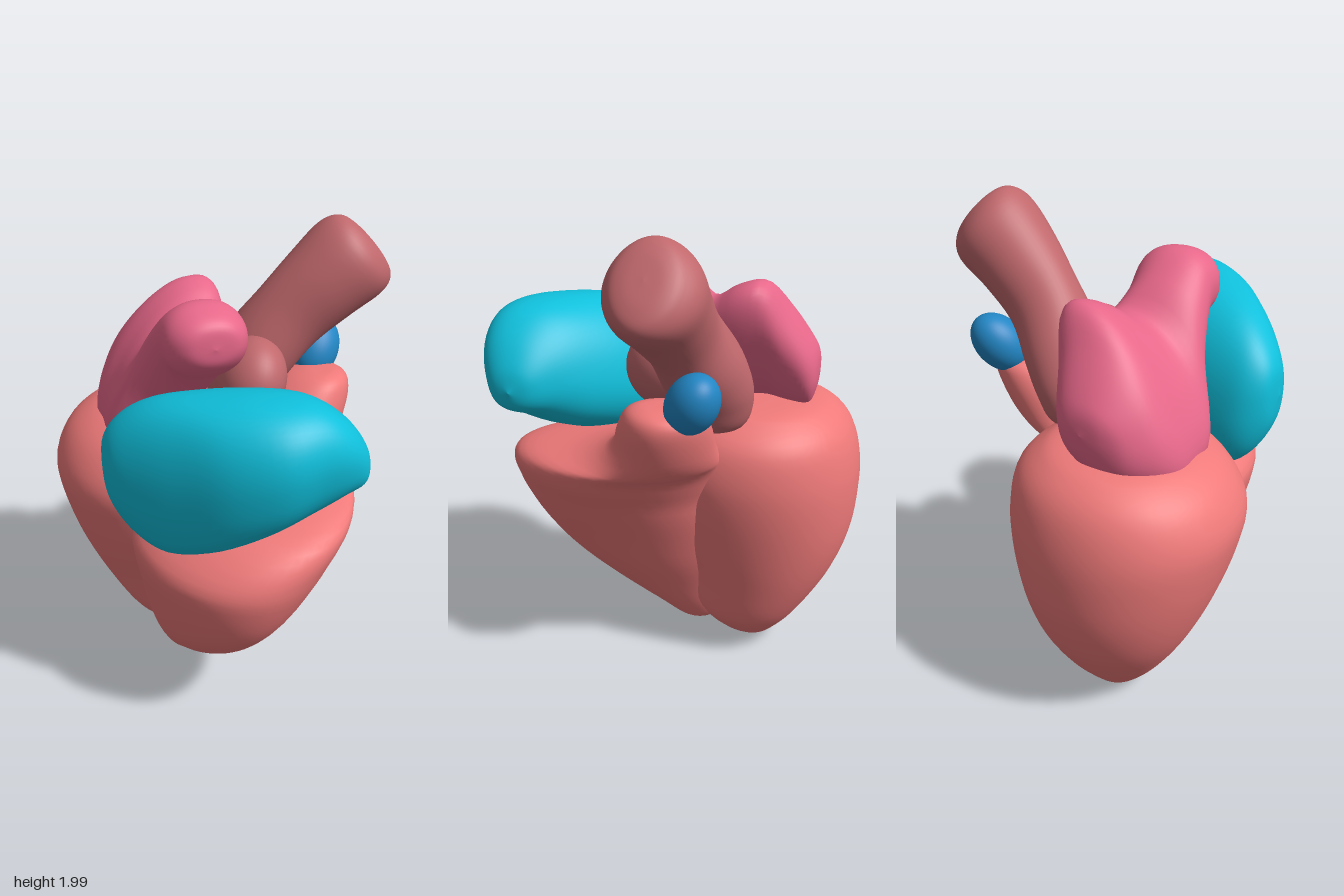
import * as THREE from 'three';

const V = (x, y, z) => new THREE.Vector3(x, y, z);

// Smooth closed skin through cross-sections { c: centre, u, v: half axes }, u x v along the travel
function loft(name, color, sections, n = 2, rings = 64, sides = 56) {
  const curve = k => new THREE.CatmullRomCurve3(sections.map(s => s[k]), false, 'catmullrom', 0.5);
  const C = curve('c'), U = curve('u'), W = curve('v');
  const pos = [], idx = [];
  const pw = a => Math.sign(a) * Math.pow(Math.abs(a), 2 / n);
  for (let i = 0; i <= rings; i++) {
    // ease the parameter so rings crowd towards both ends
    const t = 0.5 - 0.5 * Math.cos(Math.PI * i / rings);
    const c = C.getPoint(t), u = U.getPoint(t), v = W.getPoint(t);
    for (let j = 0; j < sides; j++) {
      const a = 2 * Math.PI * j / sides;
      const p = c.clone().addScaledVector(u, pw(Math.cos(a))).addScaledVector(v, pw(Math.sin(a)));
      pos.push(p.x, p.y, p.z);
      if (i < rings) {
        const k = (j + 1) % sides, o = i * sides;
        idx.push(o + j, o + k, o + sides + j, o + k, o + sides + k, o + sides + j);
      }
    }
  }
  const g = new THREE.BufferGeometry();
  g.setAttribute('position', new THREE.Float32BufferAttribute(pos, 3));
  g.setIndex(idx);
  g.computeVertexNormals();
  return mesh(name, g, color);
}

function mesh(name, geometry, color) {
  const m = new THREE.Mesh(geometry, new THREE.MeshStandardMaterial({ color }));
  m.name = name;
  return m;
}

// Sections from bounds, stacked along one axis in the positive direction
const alongY = ([y, x0, x1, z0, z1]) => ({
  c: V((x0 + x1) / 2, y, (z0 + z1) / 2), u: V(0, 0, (z1 - z0) / 2), v: V((x1 - x0) / 2, 0, 0) });
const alongX = ([x, z0, z1, y0, y1, lean = 0]) => ({
  c: V(x, (y0 + y1) / 2, (z0 + z1) / 2), u: V(0, (y1 - y0) / 2, lean), v: V(0, 0, (z1 - z0) / 2) });
const alongZ = ([z, x0, x1, y0, y1, lean = 0]) => ({
  c: V((x0 + x1) / 2, (y0 + y1) / 2, z), u: V((x1 - x0) / 2, 0, 0), v: V(lean, (y1 - y0) / 2, 0) });

function ellipsoid(name, color, centre, radii, rot = [0, 0, 0]) {
  const m = mesh(name, new THREE.SphereGeometry(1, 40, 28), color);
  m.position.set(...centre);
  m.scale.set(...radii);
  m.rotation.set(...rot);
  return m;
}

export function createModel() {
  const model = new THREE.Group();
  model.name = 'heart';
  const muscle = 0xf07a7a, teal = 0x10c0dc, pink = 0xe8688a, vessel = 0xc0686c, blue = 0x2286c4;

  // rear chamber: egg tapering to the apex
  model.add(loft('rearVentricle', muscle, [
    [0, -0.22, -0.22, -0.36, -0.36],
    [0.02, -0.28, -0.13, -0.43, -0.28],
    [0.08, -0.35, -0.05, -0.49, -0.19],
    [0.2, -0.44, 0.05, -0.58, -0.1],
    [0.4, -0.55, 0.11, -0.7, -0.05],
    [0.6, -0.63, 0.16, -0.77, 0.04],
    [0.8, -0.685, 0.2, -0.79, 0.1],
    [0.95, -0.7, 0.21, -0.78, 0.12],
    [1.08, -0.645, 0.18, -0.74, 0.07],
    [1.16, -0.55, 0.1, -0.67, 0],
    [1.2, -0.43, 0, -0.57, -0.12],
    [1.212, -0.24, -0.24, -0.36, -0.36],
  ].map(alongY), 2.1));

  // front chamber, rising to an outlet on one side
  model.add(loft('frontVentricle', muscle, [
    [0.03, -0.23, -0.23, -0.08, -0.08],
    [0.05, -0.29, -0.14, -0.18, 0],
    [0.15, -0.34, -0.06, -0.23, 0.13],
    [0.3, -0.39, 0.03, -0.27, 0.35],
    [0.45, -0.43, 0.12, -0.3, 0.52],
    [0.6, -0.46, 0.2, -0.31, 0.63],
    [0.75, -0.49, 0.285, -0.31, 0.69],
    [0.84, -0.485, 0.335, -0.3, 0.705],
    [0.92, -0.4, 0.385, -0.29, 0.69],
    [0.98, -0.29, 0.415, -0.28, 0.64],
    [1.02, -0.18, 0.44, -0.27, 0.52],
    [1.055, -0.08, 0.46, -0.27, 0.31],
    [1.13, 0.04, 0.49, -0.27, 0.15],
    [1.25, 0.16, 0.53, -0.27, 0.09],
    [1.32, 0.25, 0.525, -0.25, 0.05],
    [1.35, 0.33, 0.47, -0.16, 0],
    [1.355, 0.4, 0.4, -0.07, -0.07],
  ].map(alongY), 1.9));

  // front upper chamber, with its small tip showing through the outlet
  const frontAtrium = new THREE.Group();
  frontAtrium.name = 'frontAtrium';
  frontAtrium.add(loft('frontAtriumBody', teal, [
    [-0.605, 0.24, 0.24, 1.23, 1.23],
    [-0.585, 0.14, 0.32, 1.09, 1.36],
    [-0.51, 0.08, 0.42, 0.95, 1.46, 0.02],
    [-0.4, 0.07, 0.54, 0.87, 1.53, 0.04],
    [-0.25, 0.1, 0.685, 0.91, 1.57, 0.06],
    [-0.08, 0.18, 0.765, 1.0, 1.59, 0.07],
    [0.08, 0.29, 0.75, 1.08, 1.575, 0.06],
    [0.2, 0.39, 0.72, 1.16, 1.5, 0.03],
    [0.285, 0.48, 0.66, 1.21, 1.39],
    [0.315, 0.57, 0.57, 1.29, 1.29],
  ].map(alongX), 2.25));
  frontAtrium.add(ellipsoid('frontAtriumTip', teal, [0.25, 1.2, 0.06], [0.05, 0.06, 0.04]));
  model.add(frontAtrium);

  // rear upper chamber with a lobe reaching forward
  model.add(loft('rearAtrium', pink, [
    [-0.595, -0.2, -0.2, 1.33, 1.33],
    [-0.585, -0.29, -0.12, 1.25, 1.41],
    [-0.55, -0.37, -0.08, 1.16, 1.48, 0.04],
    [-0.47, -0.43, -0.06, 1.11, 1.6, 0.1],
    [-0.38, -0.43, -0.05, 1.08, 1.72, 0.17],
    [-0.27, -0.43, -0.04, 1.07, 1.7, 0.17],
    [-0.15, -0.45, -0.05, 1.11, 1.63, 0.13],
    [-0.03, -0.39, -0.04, 1.31, 1.72, 0.04],
    [0.1, -0.345, -0.01, 1.48, 1.8],
    [0.2, -0.33, -0.02, 1.53, 1.79],
    [0.265, -0.27, -0.07, 1.6, 1.75],
    [0.28, -0.17, -0.17, 1.67, 1.67],
  ].map(alongZ), 2.2));

  // great vessel: [x, y, z, tilt, radius across, radius in z]
  const trunk = [
    [0.06, 1.12, -0.2, 0.1, 0, 0],
    [0.07, 1.17, -0.2, 0.1, 0.1, 0.14],
    [0.09, 1.3, -0.2, 0.3, 0.145, 0.18],
    [0.165, 1.445, -0.18, 0.65, 0.16, 0.175],
    [0.275, 1.59, -0.14, 0.8, 0.165, 0.15],
    [0.405, 1.72, -0.115, 0.86, 0.18, 0.17],
    [0.52, 1.815, -0.105, 0.88, 0.195, 0.18],
    [0.58, 1.86, -0.1, 0.88, 0.175, 0.135],
    [0.602, 1.878, -0.1, 0.88, 0.11, 0.08],
    [0.607, 1.882, -0.1, 0.88, 0, 0],
  ].map(([x, y, z, a, r, rz]) => ({
    c: V(x, y, z), u: V(0, 0, rz), v: V(Math.cos(a) * r, -Math.sin(a) * r, 0) }));
  const greatVessel = new THREE.Group();
  greatVessel.name = 'greatVessel';
  greatVessel.add(
    loft('vesselTrunk', vessel, trunk, 1.95),
    ellipsoid('vesselRootLobe', vessel, [0.075, 1.38, -0.03], [0.14, 0.18, 0.175], [0, 0, -0.3]));
  model.add(greatVessel);

  // small vessel end on the outlet
  model.add(ellipsoid('sideVessel', blue, [0.44, 1.39, -0.225], [0.105, 0.14, 0.1], [-0.5, 0, -0.45]));

  return model;
}
